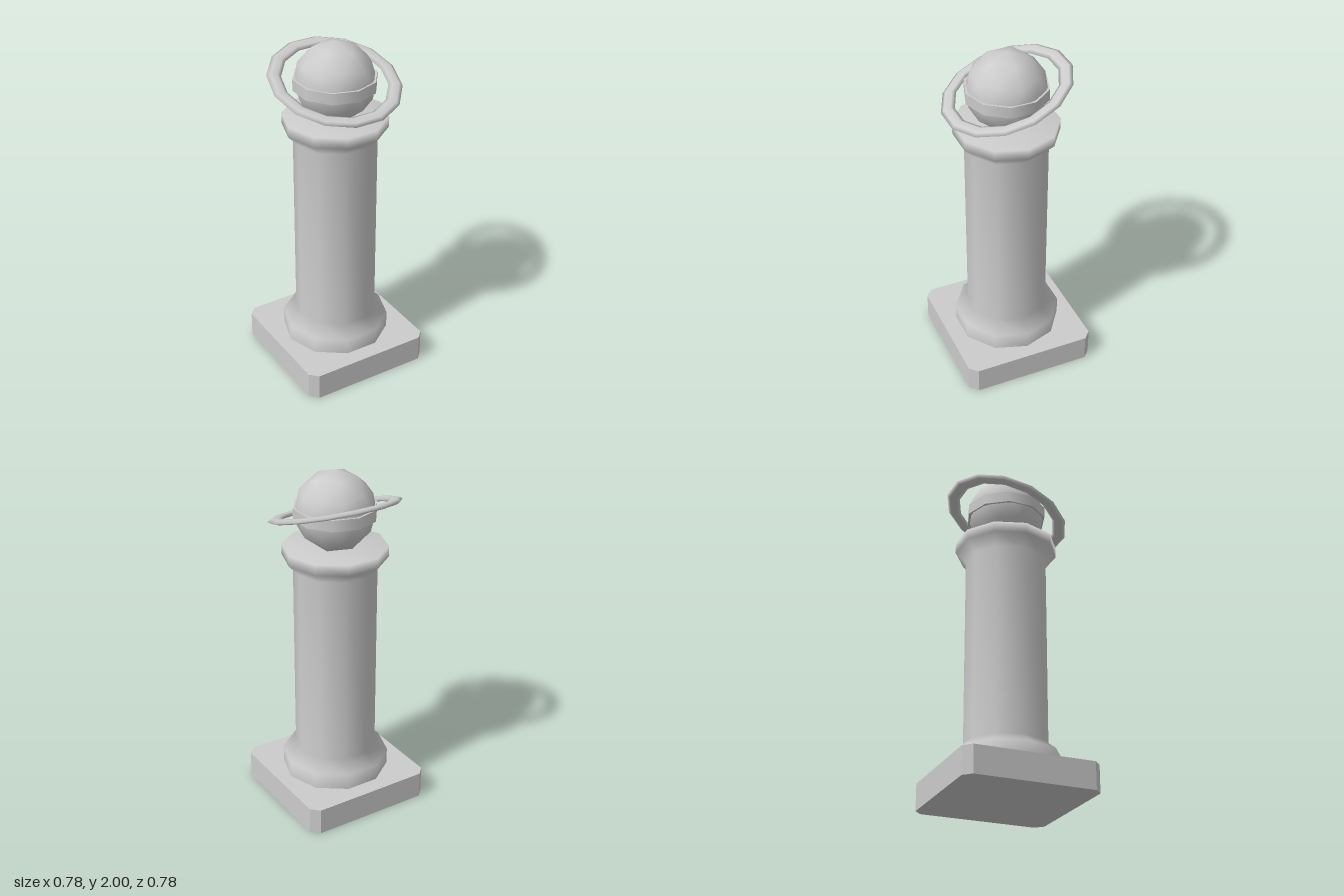
import * as THREE from 'three';

export function createModel() {
  const model = new THREE.Group();
  const stone = new THREE.MeshStandardMaterial({ color: 0xcccccc });
  stone.name = 'grey stone';

  const add = (name, geometry, y = 0) => {
    const mesh = new THREE.Mesh(geometry, stone);
    mesh.name = name;
    mesh.position.y = y;
    model.add(mesh);
    return mesh;
  };

  // Square plinth with chamfered corners
  const h = 0.39, c = 0.345;
  const outline = new THREE.Shape([
    [h, -c], [h, c], [c, h], [-c, h], [-h, c], [-h, -c], [-c, -h], [c, -h],
  ].map(([x, y]) => new THREE.Vector2(x, y)));
  const plinth = new THREE.ExtrudeGeometry(outline, { depth: 0.157, bevelEnabled: false });
  plinth.rotateX(-Math.PI / 2);
  add('plinth', plinth);

  // Ten-sided column with flared foot and capital, softly shaded
  const profile = [
    [0.31, 0.15], [0.31, 0.253], [0.235, 0.312],
    [0.235, 1.442], [0.296, 1.505], [0.296, 1.567], [0, 1.567],
  ].map(([r, y]) => new THREE.Vector2(r, y));
  const column = new THREE.LatheGeometry(profile, 10);
  column.rotateY(Math.PI / 2);
  add('column', column);

  // Planet: low-poly globe with its pole turned upright
  const globe = new THREE.IcosahedronGeometry(0.229, 1);
  globe.rotateX(-Math.atan((1 + Math.sqrt(5)) / 2));
  globe.rotateY(Math.PI / 2);
  add('globe', globe, 1.77);

  // Raised belt around the equator
  add('equatorBand', new THREE.CylinderGeometry(0.235, 0.235, 0.065, 10), 1.768);

  // Flattened ring, tilted down towards the front
  const ring = new THREE.TorusGeometry(0.333, 0.04, 6, 14);
  ring.scale(1, 1, 0.35);
  ring.rotateX(-Math.PI / 2);
  add('planetRing', ring, 1.77).rotation.x = THREE.MathUtils.degToRad(18);

  return model;
}
